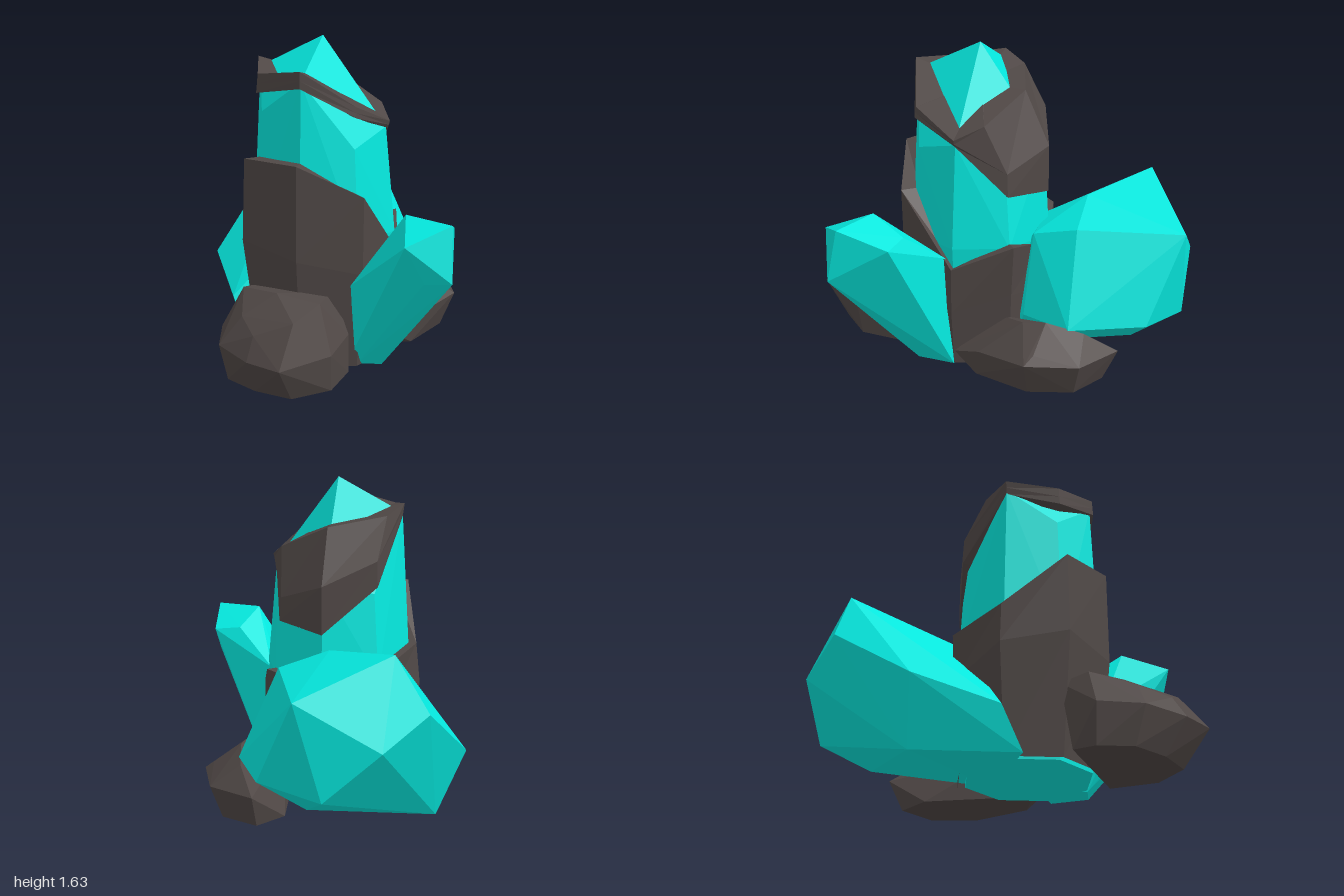
import * as THREE from 'three';
import { ConvexGeometry } from 'three/addons/geometries/ConvexGeometry.js';

const crystalMat = new THREE.MeshStandardMaterial({ color: 0x05e8de, flatShading: true });
const rockMat = new THREE.MeshStandardMaterial({ color: 0x504846, flatShading: true });

// Axis of the main column
const AX = -0.035, AZ = 0.1, SIDES = 8;

// Eight points round the column axis, front first, then towards +x;
// radius, height and turn (degrees) are one value or one per corner
function ring(radius, height, turn = 0) {
  const at = (v, i) => (Array.isArray(v) ? v[i] : v);
  return Array.from({ length: SIDES }, (_, i) => {
    const a = THREE.MathUtils.degToRad((i * 360) / SIDES + at(turn, i));
    const r = at(radius, i);
    return [AX + Math.sin(a) * r, at(height, i), AZ + Math.cos(a) * r];
  });
}

// Skin joining successive rings
function skin(rings) {
  const pos = [];
  for (let k = 0; k < rings.length - 1; k++) {
    for (let i = 0; i < SIDES; i++) {
      const j = (i + 1) % SIDES;
      const [a, b] = [rings[k][i], rings[k][j]];
      const [d, c] = [rings[k + 1][i], rings[k + 1][j]];
      pos.push(...a, ...b, ...c, ...a, ...c, ...d);
    }
  }
  const g = new THREE.BufferGeometry();
  g.setAttribute('position', new THREE.Float32BufferAttribute(pos, 3));
  g.computeVertexNormals();
  return g;
}

// Faceted stone from its corner points
const hull = (points) => new ConvexGeometry(points.map((p) => new THREE.Vector3(...p)));

export function createModel() {
  const group = new THREE.Group();
  const add = (name, geometry, material) => {
    const mesh = new THREE.Mesh(geometry, material);
    mesh.name = name;
    group.add(mesh);
  };

  // Tall column with an uneven pointed tip
  add('mainCrystal', hull([
    ...ring(0.33, 0),
    ...ring(0.38, 0.65),
    ...ring([0.345, 0.34, 0.33, 0.34, 0.35, 0.34, 0.335, 0.34],
      [1.46, 1.12, 1.19, 0.92, 1.15, 1.08, 1.46, 1.28]),
    [AX, 1.635, AZ],
  ]), crystalMat);

  // Rock collar round the lower column, highest at the front
  const collarTop = [1.06, 0.9, 0.54, 0.675, 0.6, 0.7, 0.78, 1.05];
  add('rockCollar', skin([
    ring(0.37, 0),
    ring([0.43, 0.43, 0.4, 0.4, 0.36, 0.41, 0.435, 0.455],
      [0.575, 0.5, 0.3, 0.4, 0.35, 0.45, 0.57, 0.63]),
    ring([0.425, 0.44, 0.4, 0.43, 0.365, 0.42, 0.415, 0.44], collarTop),
    ring(0.34, collarTop),
  ]), rockMat);

  // Tilted rock cap that the tip pokes through; its back folds inward above a low hem
  const capLow = [1.43, 1.28, 1.185, 0.92, 0.885, 1.12, 1.44, 1.375];
  add('rockCap', skin([
    ring(0.3, capLow),
    ring([0.365, 0.36, 0.335, 0.355, 0.375, 0.37, 0.335, 0.37], capLow),
    ring([0.363, 0.355, 0.345, 0.345, 0.375, 0.365, 0.34, 0.365],
      [1.47, 1.305, 1.2, 1.04, 1.13, 1.25, 1.475, 1.42]),
    ring([0.36, 0.35, 0.35, 0.3, 0.245, 0.31, 0.345, 0.36],
      [1.513, 1.335, 1.22, 1.285, 1.41, 1.46, 1.51, 1.47],
      [0, 0, 0, -19, 0, 20, 0, 0]),
    ring(0.01, 1.42),
  ]), rockMat);

  // Broad crystal leaning out behind
  add('backCrystal', hull([
    [-0.49, 0.915, -0.69], [-0.07, 0.74, -1.0], [-0.12, 0.86, -0.46], [0.13, 0.765, -0.49],
    [-0.66, 0.635, -0.69], [-0.48, 0.5, -0.92], [0.14, 0.3, -0.87], [0.33, 0.3, -0.52],
    [-0.77, 0.33, -0.24], [-0.53, 0.215, 0.13], [-0.2, 0.25, -0.96], [-0.07, 0.13, -0.73],
    [-0.63, 0, -0.3], [-0.42, 0, 0.2], [0, 0, -0.1], [-0.1, 0.745, -0.25],
    [0.11, 0.7, -0.25], [0.22, 0.29, -0.24],
  ]), crystalMat);

  // Slim crystal leaning out to the side
  add('sideCrystal', hull([
    [0.5, 0.85, 0.46], [0.75, 0.84, 0.54], [0.56, 0.76, 0.7], [0.765, 0.565, 0.59],
    [0.63, 0.555, 0.6], [0.7, 0.75, 0.285], [0.555, 0.77, 0.27], [0.39, 0.685, 0.3],
    [0.21, 0.445, 0.42], [0.22, 0.1, 0.38], [0.35, 0.16, 0.4], [0.22, 0, 0.33],
    [0.34, 0, 0.1], [0.34, 0, 0.3], [0.15, 0, 0.1], [0.34, 0.59, 0.14],
  ]), crystalMat);

  // Boulder in front
  add('frontRock', hull([
    [-0.42, 0.215, 0.56], [-0.35, 0.2, 0.78], [-0.15, 0.19, 0.93], [0.04, 0.19, 1.0],
    [0.21, 0.19, 0.73], [0.21, 0.2, 0.45], [-0.105, 0.44, 0.62], [-0.325, 0.41, 0.5],
    [0.11, 0.4, 0.6], [-0.25, 0.34, 0.72], [-0.14, 0.3, 0.86], [0.06, 0.38, 0.85],
    [-0.3, 0.38, 0.35], [0.1, 0.38, 0.35], [-0.4, 0, 0.55], [-0.33, 0, 0.72],
    [-0.15, 0, 0.82], [0.05, 0, 0.86], [0.2, 0, 0.7], [0.21, 0, 0.45], [-0.38, 0, 0.43],
  ]), rockMat);

  // Low boulder at the back corner
  add('backRock', hull([
    [0.2, 0.17, -0.745], [0.45, 0.17, -0.625], [0.555, 0.18, -0.37], [0.44, 0.15, -0.08],
    [0.35, 0.08, 0.09], [0.3, 0.285, -0.595], [0.35, 0.335, -0.41], [0.36, 0.32, -0.29],
    [0.5, 0.22, -0.4], [0.2, 0.25, -0.1], [0.2, 0, -0.665], [0.4, 0, -0.58],
    [0.48, 0, -0.36], [0.4, 0, -0.05], [0.2, 0, 0.05], [0.1, 0, -0.5],
  ]), rockMat);

  return group;
}
